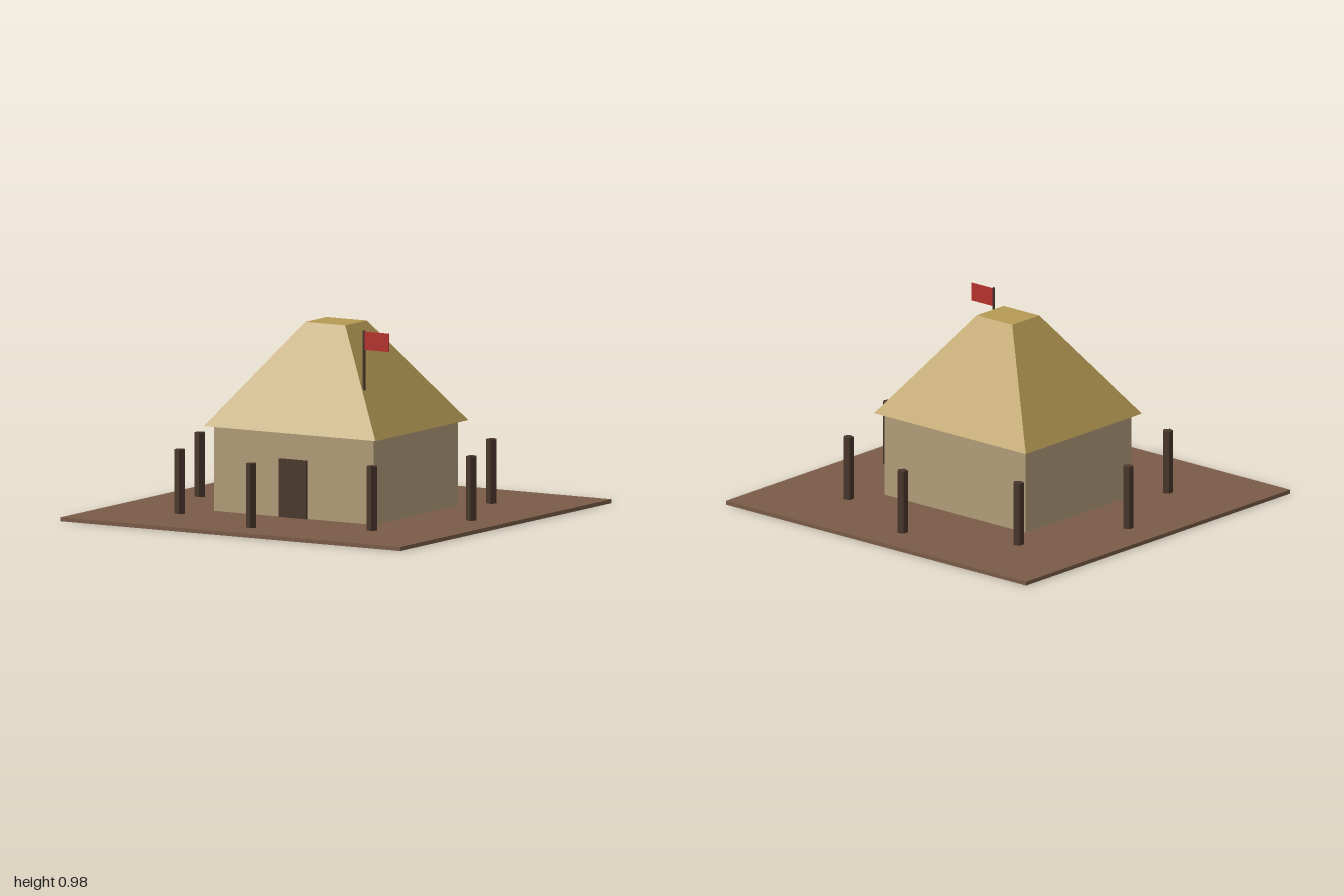
import * as THREE from 'three';

const mat = (name, color) => {
  const m = new THREE.MeshStandardMaterial({ color });
  m.name = name;
  return m;
};

export function createModel() {
  const group = new THREE.Group();
  const earth = mat('earth', 0x7a5c48);
  const clay = mat('clay', 0xb49e7b);
  const thatch = mat('thatch', 0xb69a55);
  const wood = mat('dark wood', 0x4a382c);
  const cloth = mat('red cloth', 0xb8322c);

  const add = (name, geometry, material, x, y, z) => {
    const mesh = new THREE.Mesh(geometry, material);
    mesh.name = name;
    mesh.position.set(x, y, z);
    group.add(mesh);
    return mesh;
  };
  const box = (w, h, d) => new THREE.BoxGeometry(w, h, d);

  // Ground slab, walls and door
  add('ground', box(2, 0.02, 2), earth, 0, 0.01, 0);
  add('walls', box(0.94, 0.43, 0.8), clay, 0, 0.235, 0);
  add('door', box(0.16, 0.295, 0.02), wood, 0, 0.1675, 0.404);

  // Hipped roof: a box whose top corners are drawn in
  const roof = box(1.01, 0.515, 0.88);
  const p = roof.attributes.position;
  for (let i = 0; i < p.count; i++) {
    if (p.getY(i) > 0) {
      p.setX(i, Math.sign(p.getX(i)) * 0.118);
      p.setZ(i, Math.sign(p.getZ(i)) * 0.102);
    }
  }
  roof.computeVertexNormals();
  add('roof', roof, thatch, 0, 0.7075, 0);

  // Ring of five-sided posts
  const postGeometry = new THREE.CylinderGeometry(0.028, 0.028, 0.325, 5, 1, false, Math.PI / 2)
    .toNonIndexed();
  postGeometry.computeVertexNormals();
  for (let i = 0; i < 8; i++) {
    const a = (i * Math.PI) / 4;
    add('post', postGeometry, wood, 0.8 * Math.cos(a), 0.1825, 0.8 * Math.sin(a));
  }

  // Flag on its pole
  add('flagPole', new THREE.CylinderGeometry(0.007, 0.007, 0.305, 5), wood, 0.333, 0.8225, 0.27);
  add('flag', box(0.142, 0.092, 0.006), cloth, 0.408, 0.924, 0.27);
  return group;
}
